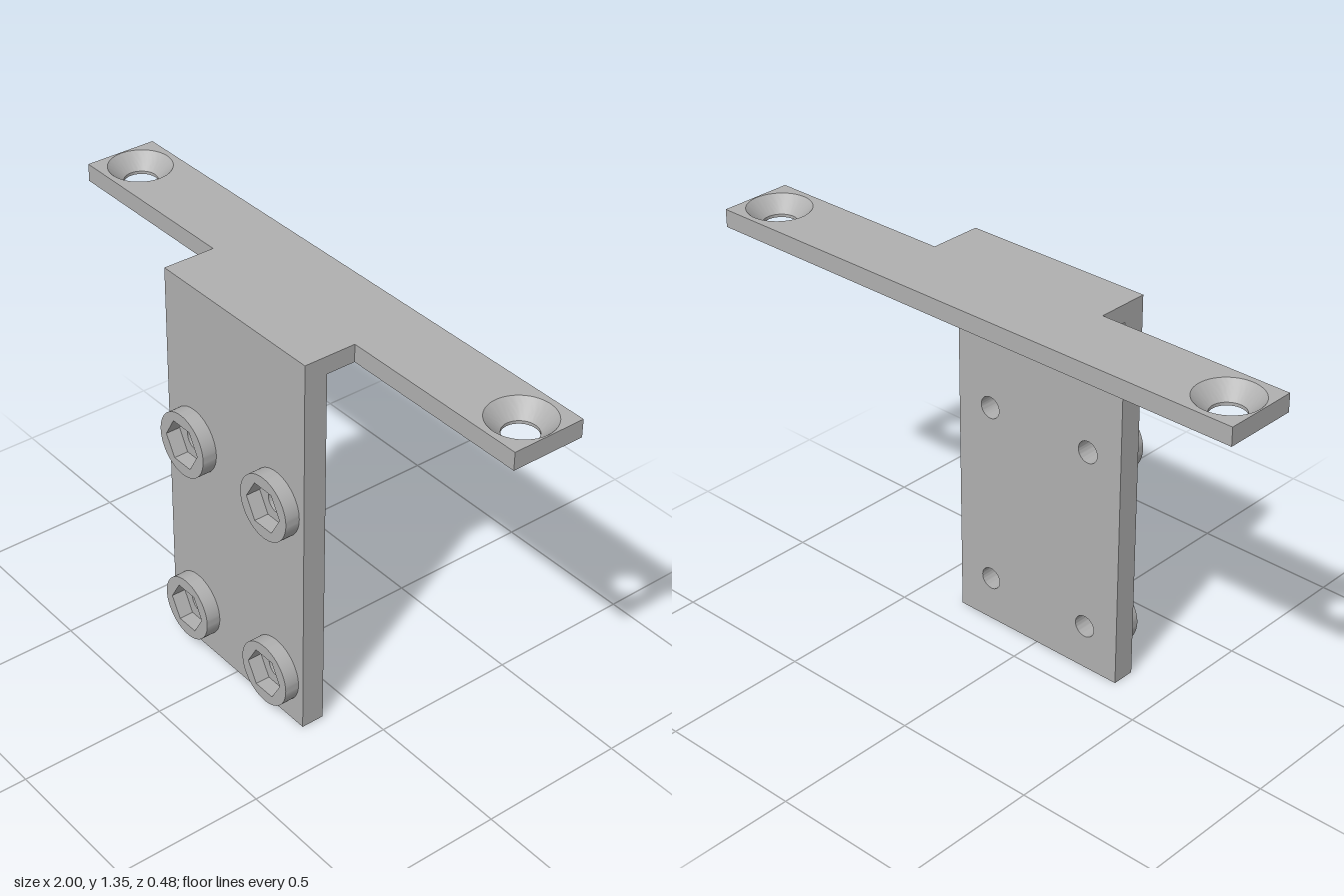
import * as THREE from 'three';
import { toCreasedNormals } from 'three/addons/utils/BufferGeometryUtils.js';

const HALF_W = 0.335, BACK = 0.11, FRONT = 0.19;   // upright plate
const TOP = 1.35, BAR_T = 0.06;                    // top bar
const SINK = { x: 0.89, z: -0.115, rTop: 0.105, rBottom: 0.055, lip: 0.01 };
const BOLTS = [-0.203, 0.203].flatMap(x => [0.157, 0.8].map(y => [x, y]));
const BOLT_R = 0.038;

const polygon = pts => new THREE.Shape(pts.map(p => new THREE.Vector2(...p)));
const circle = (x, y, r) => new THREE.Path().absarc(x, y, r, 0, Math.PI * 2, true);
const extrude = (shape, depth, steps = 1) =>
  new THREE.ExtrudeGeometry(shape, { depth, steps, curveSegments: 40, bevelEnabled: false });

// T-shaped top bar with two countersunk screw holes
function topBarGeometry() {
  const shape = polygon([
    [-1, -0.01], [-HALF_W, -0.01], [-HALF_W, -FRONT], [HALF_W, -FRONT],
    [HALF_W, -0.01], [1, -0.01], [1, 0.24], [-1, 0.24],
  ]);
  for (const s of [-1, 1]) shape.holes.push(circle(s * SINK.x, -SINK.z, SINK.rTop));
  const geo = extrude(shape, BAR_T, 6);
  // narrow the hole walls towards the underside into a cone with a short straight lip
  const p = geo.attributes.position;
  for (let i = 0; i < p.count; i++) {
    const cx = Math.sign(p.getX(i)) * SINK.x, cy = -SINK.z;
    const dx = p.getX(i) - cx, dy = p.getY(i) - cy;
    if (Math.abs(Math.hypot(dx, dy) - SINK.rTop) > 0.001) continue;
    const t = Math.max(0, (p.getZ(i) - SINK.lip) / (BAR_T - SINK.lip));
    const k = THREE.MathUtils.lerp(SINK.rBottom, SINK.rTop, t) / SINK.rTop;
    p.setXY(i, cx + dx * k, cy + dy * k);
  }
  return geo.rotateX(-Math.PI / 2).translate(0, TOP - BAR_T, 0);
}

// Upright plate drilled through at each bolt position
function uprightGeometry() {
  const h = TOP - BAR_T;
  const shape = polygon([[-HALF_W, 0], [HALF_W, 0], [HALF_W, h], [-HALF_W, h]]);
  for (const [x, y] of BOLTS) shape.holes.push(circle(x, y, BOLT_R));
  return extrude(shape, FRONT - BACK).translate(0, 0, BACK);
}

// Round boss with a hexagonal nut pocket
function bossGeometry() {
  const shape = new THREE.Shape().absarc(0, 0, 0.11, 0, Math.PI * 2, false);
  const hex = [];
  for (let i = 0; i < 6; i++) {
    const a = -i * Math.PI / 3;
    hex.push(new THREE.Vector2(0.08 * Math.cos(a), 0.08 * Math.sin(a)));
  }
  shape.holes.push(new THREE.Path(hex));
  return extrude(shape, 0.05);
}

export function createModel() {
  const group = new THREE.Group();
  group.name = 'mountingBracket';
  const grey = new THREE.MeshStandardMaterial({ color: 0xb0b0b0 });
  grey.name = 'grey';

  const add = (name, geo) => {
    const mesh = new THREE.Mesh(toCreasedNormals(geo, 0.5), grey);
    mesh.name = name;
    group.add(mesh);
    return mesh;
  };

  add('topBar', topBarGeometry());
  add('uprightPlate', uprightGeometry());
  for (const [x, y] of BOLTS) add('nutBoss', bossGeometry()).position.set(x, y, FRONT);

  return group;
}
